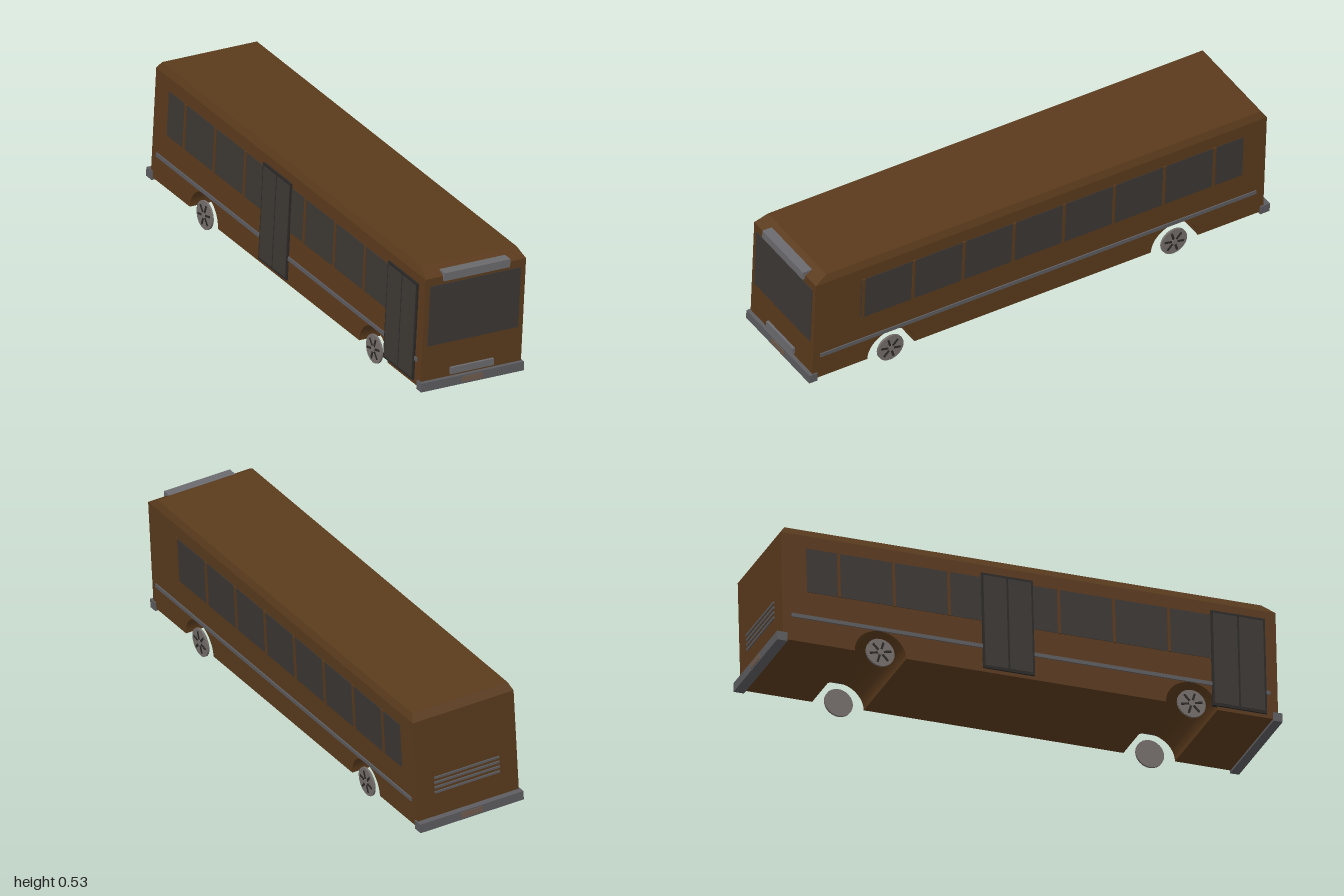
import * as THREE from 'three';

const mat = (color) => new THREE.MeshStandardMaterial({ color, flatShading: true });

export function createModel() {
  const paint = mat(0x5a3a1c), glass = mat(0x3c3733), trim = mat(0x5c5c60);
  const lamp = mat(0x6a6a6e), rubber = mat(0x746e6a), dark = mat(0x2b2927), plateMat = mat(0x6e5a4c);
  const W = 0.42, FRONT = 0.965, BACK = -0.955, FLOOR = 0.056, EAVE = 0.492, TOP = 0.52;
  const LEN = FRONT - BACK, MID = (FRONT + BACK) / 2;
  const axles = [-0.577, 0.63];

  const bus = new THREE.Group();
  bus.name = 'bus';
  const add = (name, geometry, material, x = 0, y = 0, z = 0, parent = bus) => {
    const mesh = new THREE.Mesh(geometry, material);
    mesh.name = name;
    mesh.position.set(x, y, z);
    parent.add(mesh);
    return mesh;
  };
  // Box given by its centre x and its y and z ranges
  const box = (name, material, w, x, y0, y1, z0, z1) =>
    add(name, new THREE.BoxGeometry(w, y1 - y0, z1 - z0), material, x, (y0 + y1) / 2, (z0 + z1) / 2);

  // Body: side profile with wheel arches, extruded across the full width
  const profile = new THREE.Shape();
  profile.moveTo(BACK, FLOOR);
  for (const z of axles) {
    profile.lineTo(z - 0.1, FLOOR);
    profile.absellipse(z, FLOOR, 0.1, 0.095, Math.PI, 0, true);
  }
  profile.lineTo(FRONT, FLOOR);
  profile.lineTo(FRONT, EAVE);
  profile.lineTo(BACK, EAVE);
  const bodyGeo = new THREE.ExtrudeGeometry(profile, { depth: W, bevelEnabled: false, curveSegments: 16 });
  bodyGeo.rotateY(-Math.PI / 2).translate(W / 2, 0, 0);
  add('body', bodyGeo, paint);

  // Roof: box with its top drawn in on all sides
  const roofGeo = new THREE.BoxGeometry(W, TOP - EAVE, LEN);
  const p = roofGeo.attributes.position;
  for (let i = 0; i < p.count; i++) {
    if (p.getY(i) < 0) continue;
    p.setX(i, p.getX(i) * 0.945);
    p.setZ(i, p.getZ(i) + (p.getZ(i) > 0 ? -0.05 : 0.02));
  }
  const roof = roofGeo.toNonIndexed();
  roof.computeVertexNormals();
  add('roof', roof, paint, 0, (TOP + EAVE) / 2, MID);

  // Side window bands, pillars and belt trim
  for (const s of [-1, 1]) {
    const x = s * W / 2;
    box('sideWindows', glass, 0.004, x, 0.263, 0.44, -0.857, s > 0 ? 0.769 : 0.72);
    for (let i = 0; i < 8; i++) {
      const z = 0.76 - i * 0.2133;
      if (s < 0 && i === 0) continue;
      box('windowPillar', paint, 0.012, x, 0.26, 0.443, z - 0.005, z + 0.005);
    }
    box('beltTrim', trim, 0.01, x, 0.151, 0.166, -0.92, 0.936);
  }

  // Double doors on the right side
  for (const [z0, z1] of [[-0.18, 0.02], [0.71, 0.92]]) {
    const x = -W / 2, zm = (z0 + z1) / 2;
    box('doorFrame', dark, 0.014, x, 0.07, 0.457, z0, z1);
    for (const [a, b] of [[z0 + 0.008, zm - 0.004], [zm + 0.004, z1 - 0.008]])
      box('doorLeaf', glass, 0.018, x, 0.08, 0.447, a, b);
  }

  // Front end
  box('windshield', glass, 0.379, 0, 0.221, 0.461, FRONT - 0.01, FRONT + 0.003);
  box('destinationSign', lamp, 0.275, 0, 0.476, 0.508, 0.925, 0.976);
  box('frontLamp', lamp, 0.18, 0, 0.092, 0.118, FRONT - 0.01, FRONT + 0.01);

  // Bumpers and plates
  box('frontBumper', trim, 0.43, 0, 0.047, 0.082, 0.945, 0.98);
  box('rearBumper', trim, 0.43, 0, 0.047, 0.082, -0.98, -0.94);
  for (const z of [-0.98, 0.98]) box('plate', plateMat, 0.088, 0, 0.054, 0.076, z - 0.002, z + 0.002);

  // Rear vents
  for (let i = 0; i < 4; i++) {
    const y = 0.18 + i * 0.02;
    box('rearVent', trim, 0.27, 0, y - 0.004, y + 0.004, BACK - 0.005, BACK + 0.005);
  }

  // Thin wheels with spokes on the outer face
  for (const s of [-1, 1]) for (const z of axles) {
    const wheel = new THREE.Group();
    wheel.name = 'wheel';
    wheel.position.set(s * 0.205, 0.066, z);
    bus.add(wheel);
    add('tire', new THREE.CylinderGeometry(0.055, 0.055, 0.008, 24).rotateZ(Math.PI / 2), rubber, 0, 0, 0, wheel);
    add('hub', new THREE.CylinderGeometry(0.012, 0.012, 0.008, 12).rotateZ(Math.PI / 2), rubber, s * 0.004, 0, 0, wheel);
    for (let i = 0; i < 3; i++) {
      const spoke = add('spoke', new THREE.BoxGeometry(0.003, 0.085, 0.008), dark, s * 0.005, 0, 0, wheel);
      spoke.rotation.x = i * Math.PI / 3 + 0.3;
    }
  }

  // The whole vehicle is turned and leans slightly
  bus.position.x = -0.0135;
  const lean = new THREE.Group();
  lean.name = 'leaningBus';
  lean.add(bus);
  lean.rotation.set(0.004, -0.126, -0.055, 'ZYX');
  const model = new THREE.Group();
  model.name = 'model';
  model.add(lean);
  return model;
}
